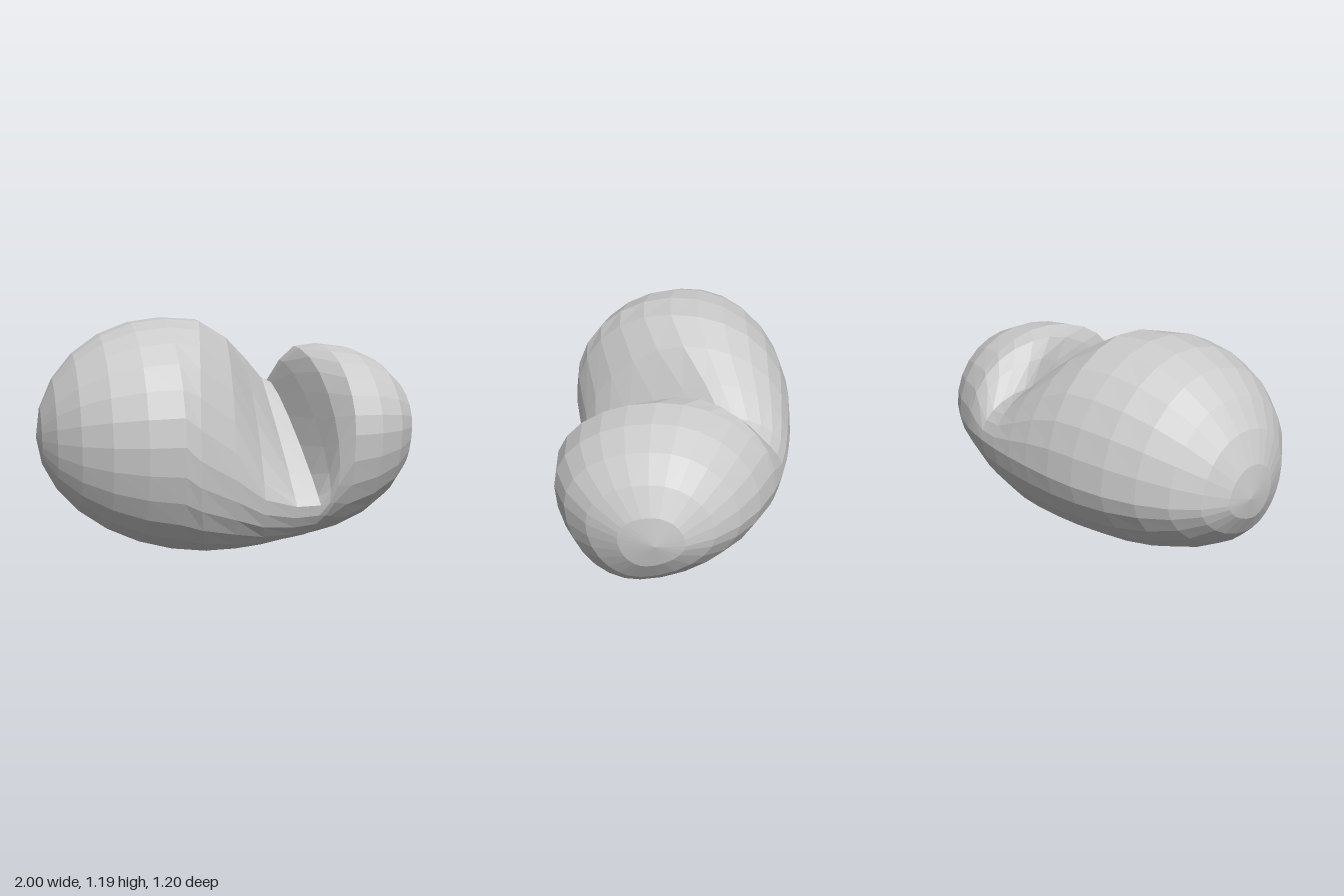
import * as THREE from 'three';

const SIDES = 26;

// A rounded end lobe: stations from its tip at x = +-1 inwards to its widest point
function lobeStations(centerX, height, depth, lean, steps) {
  const width = 1 - Math.abs(centerX);
  const stations = [];
  for (let i = 0; i <= steps; i++) {
    const a = (i / steps) * Math.PI / 2;
    const s = Math.sin(a);
    stations.push({
      x: centerX + Math.sign(centerX) * width * Math.cos(a),
      top: 0.6 + height * s,
      zTop: -0.05 + lean * s,
      front: -0.05 + depth * s,
      yFront: 0.6 + 0.04 * s,
      crease: 1,
      frontSkew: 0,
      backSkew: 0,
    });
  }
  return stations;
}

// The saddle and crease between the lobes, its sections fanning out from the crease
const saddleStations = [
  [-0.16, 1.18, -0.03, 0.59, 0.57, 1, -0.13, -0.05],
  [0, 1.085, -0.1, 0.515, 0.45, 1.12, -0.1, -0.05],
  [0.14, 0.96, -0.2, 0.45, 0.33, 1.45, -0.08, -0.06],
  [0.25, 0.84, -0.28, 0.4, 0.27, 1.85, -0.01, -0.04],
  [0.295, 0.815, -0.28, 0.4, 0.27, 1.85, 0.07, 0.04],
  [0.33, 0.94, -0.2, 0.42, 0.35, 1.4, 0.08, 0.1],
  [0.39, 1.02, -0.12, 0.46, 0.48, 1.1, 0.05, 0.09],
].map(([x, top, zTop, front, yFront, crease, frontSkew, backSkew]) => (
  { x, top, zTop, front, yFront, crease, frontSkew, backSkew }));

// One closed section: four rounded quadrants joined at front, top, back and bottom
function section({ x, top, zTop, front, yFront, crease, frontSkew, backSkew }) {
  const points = [];
  for (let j = 0; j < SIDES; j++) {
    const a = (j / SIDES) * Math.PI * 2;
    const c = Math.cos(a), s = Math.sin(a);
    const up = s >= 0, ahead = c >= 0;
    const px = x + Math.abs(c) * (ahead ? frontSkew : backSkew);
    const r = Math.min(1, Math.abs(px));
    const bottom = 0.6 - 0.6 * Math.sqrt(1 - r ** 2);
    const back = -0.05 - 0.55 * Math.sqrt(1 - r ** 2.4);
    const zBottom = (front + back) / 2 + 0.12 * (front - back);
    const lower = ahead ? 1 : 1.22;
    const p = up ? (ahead ? crease : 1) : lower;
    const cz = up ? zTop : zBottom;
    const cy = ahead ? yFront : 0.6;
    const z = cz + ((ahead ? front : back) - cz) * Math.abs(c) ** p;
    const y = cy + ((up ? top : bottom) - cy) * Math.abs(s) ** p;
    points.push(px, y, z);
  }
  return points;
}

// Skin the sections from the right tip to the left tip
function beanGeometry() {
  const stations = [
    ...lobeStations(-0.36, 0.595, 0.65, 0.05, 6),
    ...saddleStations,
    ...lobeStations(0.5, 0.44, 0.56, 0, 5).reverse(),
  ];
  const index = [];
  for (let i = 0; i < stations.length - 1; i++) {
    for (let j = 0; j < SIDES; j++) {
      const k = (j + 1) % SIDES;
      const a = i * SIDES + j, b = a + SIDES;
      const d = i * SIDES + k, e = d + SIDES;
      index.push(a, b, d, b, e, d);
    }
  }
  const geometry = new THREE.BufferGeometry();
  geometry.setAttribute('position', new THREE.Float32BufferAttribute(stations.flatMap(section), 3));
  geometry.setIndex(index);
  geometry.computeVertexNormals();
  return geometry;
}

export function createModel() {
  const group = new THREE.Group();
  group.name = 'bean';
  const material = new THREE.MeshStandardMaterial({ color: 0xcccccc, flatShading: true });
  const body = new THREE.Mesh(beanGeometry(), material);
  body.name = 'beanBody';
  group.add(body);
  return group;
}
